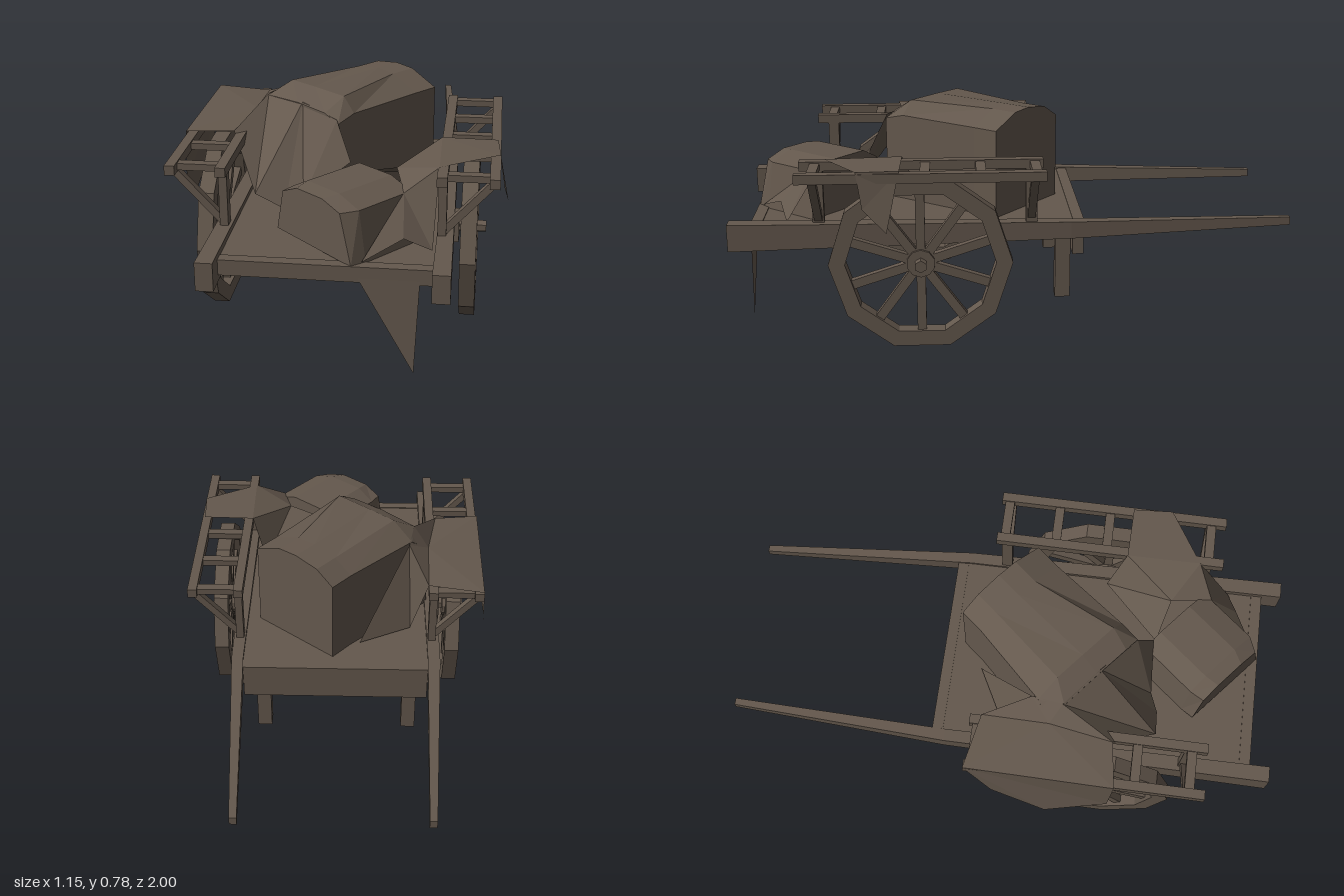
import * as THREE from 'three';

const wood = new THREE.MeshStandardMaterial({ color: 0x64584d, flatShading: true, side: THREE.DoubleSide });
wood.name = 'weathered brown';

function add(parent, name, geometry, x = 0, y = 0, z = 0) {
  const mesh = new THREE.Mesh(geometry, wood);
  mesh.name = name;
  mesh.position.set(x, y, z);
  parent.add(mesh);
  return mesh;
}

// Box given by its minimum and maximum on each axis
function box(parent, name, x0, x1, y0, y1, z0, z1) {
  return add(parent, name, new THREE.BoxGeometry(x1 - x0, y1 - y0, z1 - z0),
    (x0 + x1) / 2, (y0 + y1) / 2, (z0 + z1) / 2);
}

// Faceted surface from points and polygons (each polygon is cut as a fan)
function facets(points, polygons) {
  const pos = [];
  for (const p of polygons)
    for (let i = 1; i < p.length - 1; i++)
      pos.push(...points[p[0]], ...points[p[i]], ...points[p[i + 1]]);
  const g = new THREE.BufferGeometry();
  g.setAttribute('position', new THREE.Float32BufferAttribute(pos, 3));
  g.computeVertexNormals();
  return g;
}

// Closed skin through rings with equal point counts, capped at both ends
function loft(rings) {
  const n = rings[0].length, polys = [];
  for (let r = 0; r < rings.length - 1; r++)
    for (let i = 0; i < n; i++) {
      const j = (i + 1) % n;
      polys.push([r * n + i, r * n + j, (r + 1) * n + j, (r + 1) * n + i]);
    }
  const first = [...Array(n).keys()];
  polys.push([...first].reverse(), first.map((i) => i + (rings.length - 1) * n));
  return facets(rings.flat(), polys);
}

// Ring of a diagonal load: u runs along the bundle, profile holds [v, y] across it
const ring = (u, profile) => profile.map(([v, y]) => [0.64 * u + 0.77 * v, y, -0.77 * u + 0.64 * v]);

function wheel(parent, side) {
  const g = new THREE.Group();
  g.name = side > 0 ? 'leftWheel' : 'rightWheel';
  g.position.set(side * 0.444, 0.304, 0.33);
  g.rotation.y = Math.PI / 2;
  const decagon = (r) => Array.from({ length: 10 }, (_, i) =>
    new THREE.Vector2(r * Math.cos(i * Math.PI / 5), r * Math.sin(i * Math.PI / 5)));
  const shape = new THREE.Shape(decagon(0.32));
  shape.holes.push(new THREE.Path(decagon(0.262).reverse()));
  add(g, 'rim', new THREE.ExtrudeGeometry(shape, { depth: 0.054, bevelEnabled: false }), 0, 0, -0.027);
  for (let i = 0; i < 10; i++) {
    const a = (i + 0.5) * Math.PI / 5;
    const spoke = add(g, 'spoke', new THREE.BoxGeometry(0.225, 0.032, 0.028),
      0.148 * Math.cos(a), 0.148 * Math.sin(a), 0);
    spoke.rotation.z = a;
  }
  add(g, 'hub', new THREE.CylinderGeometry(0.05, 0.05, 0.05, 10).rotateX(Math.PI / 2));
  add(g, 'axleEnd', new THREE.CylinderGeometry(0.022, 0.022, 0.114, 6).rotateX(Math.PI / 2));
  parent.add(g);
  box(parent, 'axleBlock', side * 0.37 - 0.036, side * 0.37 + 0.036, 0.257, 0.35, 0.285, 0.375);
}

// Ladder-like rack above each wheel
function rack(parent, side) {
  const g = new THREE.Group();
  g.name = side > 0 ? 'leftRack' : 'rightRack';
  const s = side;
  const bar = (name, x, w, y0, y1, z0, z1) => box(g, name, s * x - w / 2, s * x + w / 2, y0, y1, z0, z1);
  bar('innerRail', 0.357, 0.034, 0.615, 0.648, -0.1, 0.745);
  bar('outerRail', 0.524, 0.034, 0.615, 0.648, -0.1, 0.745);
  for (let i = 0; i < 5; i++) {
    const z = -0.07 + i * 0.19;
    bar('rung', 0.44, 0.16, 0.62, 0.643, z - 0.017, z + 0.017);
  }
  for (const z of [-0.06, 0.685]) {
    bar('post', 0.359, 0.028, 0.41, 0.62, z - 0.02, z + 0.02);
    const brace = add(g, 'brace', new THREE.BoxGeometry(0.025, 0.245, 0.028), s * 0.449, 0.535, z);
    brace.rotation.z = -s * 0.74;
  }
  parent.add(g);
}

export function createModel() {
  const cart = new THREE.Group();
  cart.name = 'handcart';

  // Bed, end boards and legs
  box(cart, 'bed', -0.345, 0.35, 0.375, 0.41, -0.24, 0.89);
  box(cart, 'frontBeam', -0.335, 0.345, 0.36, 0.413, 0.89, 0.93);
  box(cart, 'rearBoard', -0.34, 0.335, 0.283, 0.413, -0.25, -0.21);
  box(cart, 'rightLeg', -0.302, -0.25, 0.103, 0.38, -0.207, -0.152);
  box(cart, 'leftLeg', 0.24, 0.292, 0.103, 0.38, -0.207, -0.152);

  // Side beams that taper into pull shafts
  const rect = (x0, x1, y0, y1, z) => [[x0, y0, z], [x1, y0, z], [x1, y1, z], [x0, y1, z]];
  add(cart, 'rightShaft', loft([rect(-0.39, -0.332, 0.336, 0.433, 1),
    rect(-0.387, -0.342, 0.357, 0.418, -0.2), rect(-0.347, -0.322, 0.373, 0.402, -1)]));
  add(cart, 'leftShaft', loft([rect(0.345, 0.403, 0.336, 0.433, 1),
    rect(0.338, 0.381, 0.357, 0.418, -0.2), rect(0.29, 0.315, 0.373, 0.402, -1)]));

  for (const side of [1, -1]) {
    wheel(cart, side);
    rack(cart, side);
  }

  // Large covered load
  const big = [[-0.105, 0.41], [-0.105, 0.72], [-0.03, 0.765], [0.07, 0.78], [0.15, 0.775], [0.265, 0.728], [0.265, 0.41]];
  add(cart, 'largeLoad', loft([
    ring(0.14, big), ring(0.04, big),
    ring(-0.28, [[-0.13, 0.41], [-0.13, 0.72], [-0.04, 0.778], [0.08, 0.78], [0.23, 0.78], [0.28, 0.73], [0.28, 0.41]]),
    ring(-0.36, [[-0.15, 0.41], [-0.15, 0.66], [-0.08, 0.73], [0.08, 0.74], [0.22, 0.735], [0.285, 0.71], [0.285, 0.41]]),
  ]));

  // Small covered load
  const small = [[0.31, 0.41], [0.33, 0.57], [0.4, 0.608], [0.55, 0.608], [0.64, 0.578], [0.67, 0.41]];
  add(cart, 'smallLoad', loft([
    ring(-0.37, small), ring(-0.6, small),
    ring(-0.655, [[0.31, 0.43], [0.34, 0.57], [0.41, 0.6], [0.53, 0.6], [0.61, 0.575], [0.66, 0.41]]),
  ]));

  // Cloth over the end of the large load and the right rack, with a hanging flap
  add(cart, 'rightCloth', facets([
    [-0.09, 0.42, -0.1], [-0.28, 0.42, 0.0], [-0.34, 0.655, -0.06], [-0.27, 0.72, 0.11],
    [-0.345, 0.665, 0.18], [-0.29, 0.735, 0.22], [-0.15, 0.745, 0.335], [-0.015, 0.725, 0.455],
    [-0.38, 0.655, 0.41], [-0.28, 0.49, 0.57], [-0.18, 0.44, 0.57], [-0.12, 0.47, 0.54], [0.04, 0.6, 0.52],
    [-0.54, 0.655, -0.1], [-0.545, 0.655, 0.43], [-0.555, 0.45, 0], [-0.578, 0.34, 0.2], [-0.555, 0.46, 0.42],
  ], [[0, 1, 3], [1, 2, 3], [2, 4, 3], [3, 4, 5], [2, 13, 4], [13, 14, 4], [14, 8, 4],
    [4, 8, 5], [5, 8, 9], [5, 9, 6], [6, 9, 10], [6, 10, 11], [6, 11, 7], [7, 11, 12],
    [13, 14, 17, 16, 15]]));

  // Cloth from the small load over the left rack, with a hanging flap
  add(cart, 'leftCloth', facets([
    [0.285, 0.5, 0.33], [0.34, 0.655, 0.39], [0.53, 0.655, 0.395], [0.54, 0.655, 0.54],
    [0.345, 0.65, 0.66], [0.2, 0.608, 0.57], [0.235, 0.58, 0.72], [0.335, 0.42, 0.8],
    [0.05, 0.57, 0.53], [0.573, 0.45, 0.44], [0.557, 0.53, 0.52], [0.12, 0.42, 0.91], [0.245, 0.47, 0.83],
  ], [[0, 5, 1], [0, 8, 5], [1, 5, 4], [1, 4, 3, 2], [5, 6, 4], [4, 6, 7], [6, 12, 7], [6, 11, 12],
    [2, 3, 10, 9]]));

  // Loose corner of cloth hanging over the front
  add(cart, 'frontCloth', facets([[0.11, 0.375, 0.933], [0.29, 0.053, 0.94], [0.305, 0.375, 0.933]], [[0, 1, 2]]));

  return cart;
}
